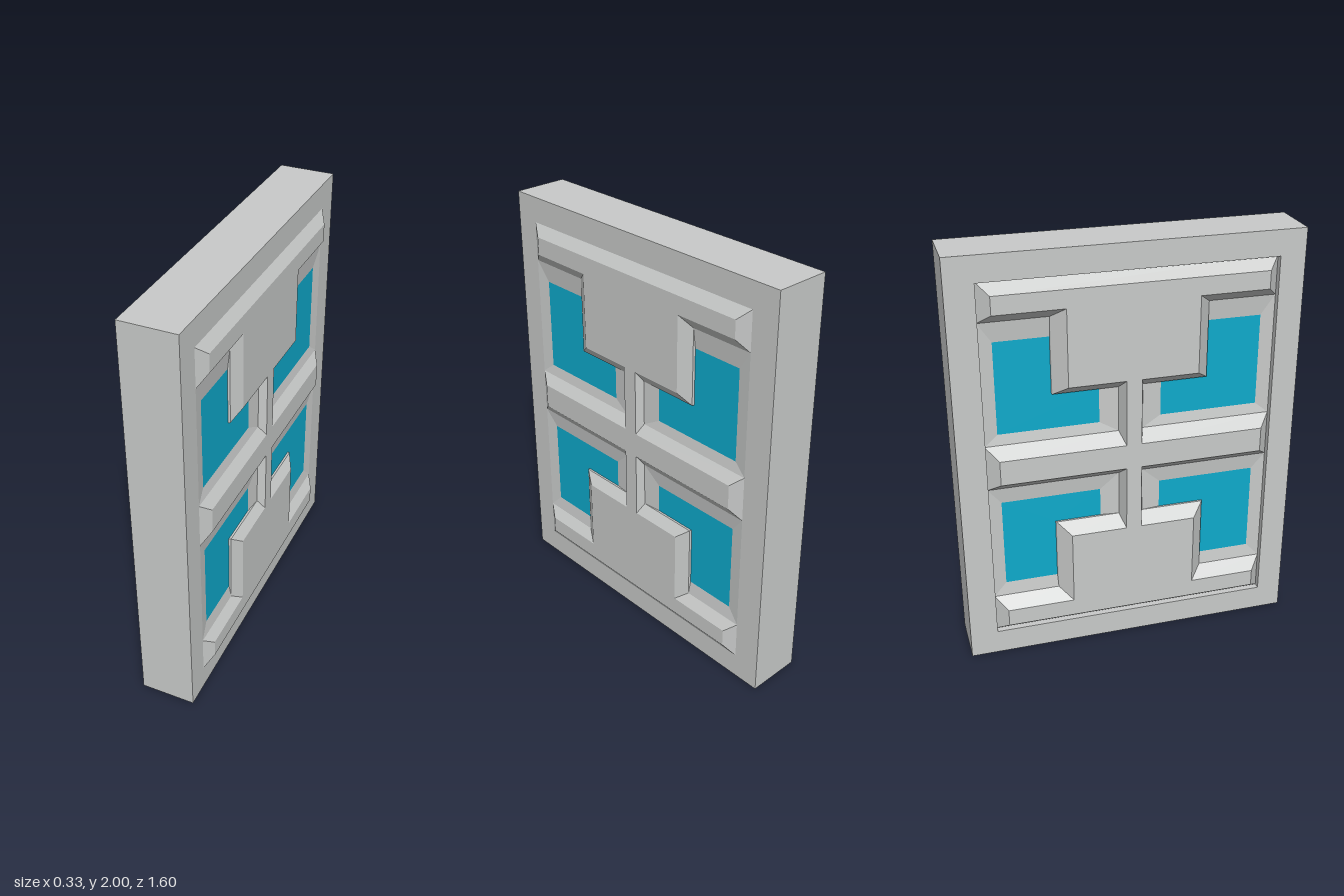
import * as THREE from 'three';

const grey = new THREE.MeshStandardMaterial({ color: 0xc8cac9 });
grey.name = 'stoneGrey';
const cyan = new THREE.MeshStandardMaterial({ color: 0x0eaacc });
cyan.name = 'paneCyan';

const CENTRE_Z = 0.006;
const HALF_W = 0.675, HALF_H = 0.88;

const toShape = (pts) => new THREE.Shape(pts.map(([x, y]) => new THREE.Vector2(x, y)));

// Mirror a contour, reversing it when the mirroring flips its direction
function mirror(pts, sx, sy) {
  const out = pts.map(([x, y]) => [x * sx, y * sy]);
  return sx * sy < 0 ? out.reverse() : out;
}

// Sloping band between two matching anticlockwise contours
function band(outer, inner, zOuter, zInner) {
  const p = [];
  outer.forEach((a, i) => {
    const j = (i + 1) % outer.length;
    const a0 = [...a, zOuter], a1 = [...outer[j], zOuter];
    const b0 = [...inner[i], zInner], b1 = [...inner[j], zInner];
    p.push(...a0, ...a1, ...b1, ...a0, ...b1, ...b0);
  });
  const g = new THREE.BufferGeometry();
  g.setAttribute('position', new THREE.Float32BufferAttribute(p, 3));
  g.computeVertexNormals();
  return g;
}

function addMesh(group, name, geometry, material, z = 0) {
  const m = new THREE.Mesh(geometry, material);
  m.name = name;
  m.position.z = z;
  group.add(m);
}

// Quarter outline of the raised ribs, at their foot and at their top
const ribFoot = [[0.675, 0.11], [0.057, 0.11], [0.057, 0.33], [0.36, 0.33],
  [0.36, 0.695], [0.675, 0.695], [0.675, 0.88]];
const ribTop = [[0.62, 0.06], [0.036, 0.06], [0.036, 0.38], [0.3, 0.38],
  [0.3, 0.745], [0.62, 0.745], [0.62, 0.83]];
const fullOutline = (q) => [[1, 1], [-1, 1], [-1, -1], [1, -1]]
  .flatMap(([sx, sy]) => mirror(q, sx, sy));

// L-shaped window opening and the pane inside it
const opening = [[0.057, 0.11], [0.675, 0.11], [0.675, 0.695],
  [0.36, 0.695], [0.36, 0.33], [0.057, 0.33]];
const paneOutline = (low, high) => [[0.145, low], [0.613, low], [0.613, high],
  [0.363, high], [0.363, 0.33], [0.145, 0.33]];

// One decorated side, facing local +z, with its base at z = 0
function makePanel(name, height) {
  const panel = new THREE.Group();
  panel.name = name;
  const foot = fullOutline(ribFoot), top = fullOutline(ribTop);
  addMesh(panel, 'ribBevel', band(foot, top, 0, height), grey);
  addMesh(panel, 'ribTop', new THREE.ShapeGeometry(toShape(top)), grey, height);
  for (const sy of [1, -1]) {
    const pane = sy > 0 ? paneOutline(0.16, 0.6) : paneOutline(0.19, 0.63);
    for (const sx of [1, -1]) {
      const edge = mirror(pane, sx, sy);
      addMesh(panel, 'windowSurround', band(mirror(opening, sx, sy), edge, 0, -0.01), grey);
      addMesh(panel, 'windowPane', new THREE.ShapeGeometry(toShape(edge)), cyan, -0.01);
    }
  }
  return panel;
}

export function createModel() {
  const model = new THREE.Group();
  model.name = 'doorPanel';

  // Thick frame with a rectangular hole
  const frameShape = toShape([[-0.8, -1], [0.8, -1], [0.8, 1], [-0.8, 1]]);
  const w = HALF_W, h = HALF_H, c = -CENTRE_Z;
  frameShape.holes.push(new THREE.Path(
    [[c - w, -h], [c - w, h], [c + w, h], [c + w, -h]].map(([x, y]) => new THREE.Vector2(x, y))));
  const frameGeo = new THREE.ExtrudeGeometry(frameShape, { depth: 0.261, bevelEnabled: false });
  frameGeo.translate(0, 0, -0.133);
  frameGeo.rotateY(Math.PI / 2);
  const frame = new THREE.Mesh(frameGeo, grey);
  frame.name = 'frame';
  frame.position.y = 1;
  model.add(frame);

  // Flush panel on the left, sunken panel on the right
  const left = makePanel('leftPanel', 0.034);
  left.rotation.y = Math.PI / 2;
  left.position.set(0.128, 1, CENTRE_Z);
  const right = makePanel('rightPanel', 0.063);
  right.rotation.y = -Math.PI / 2;
  right.position.set(-0.102, 1, CENTRE_Z);
  model.add(left, right);

  return model;
}
